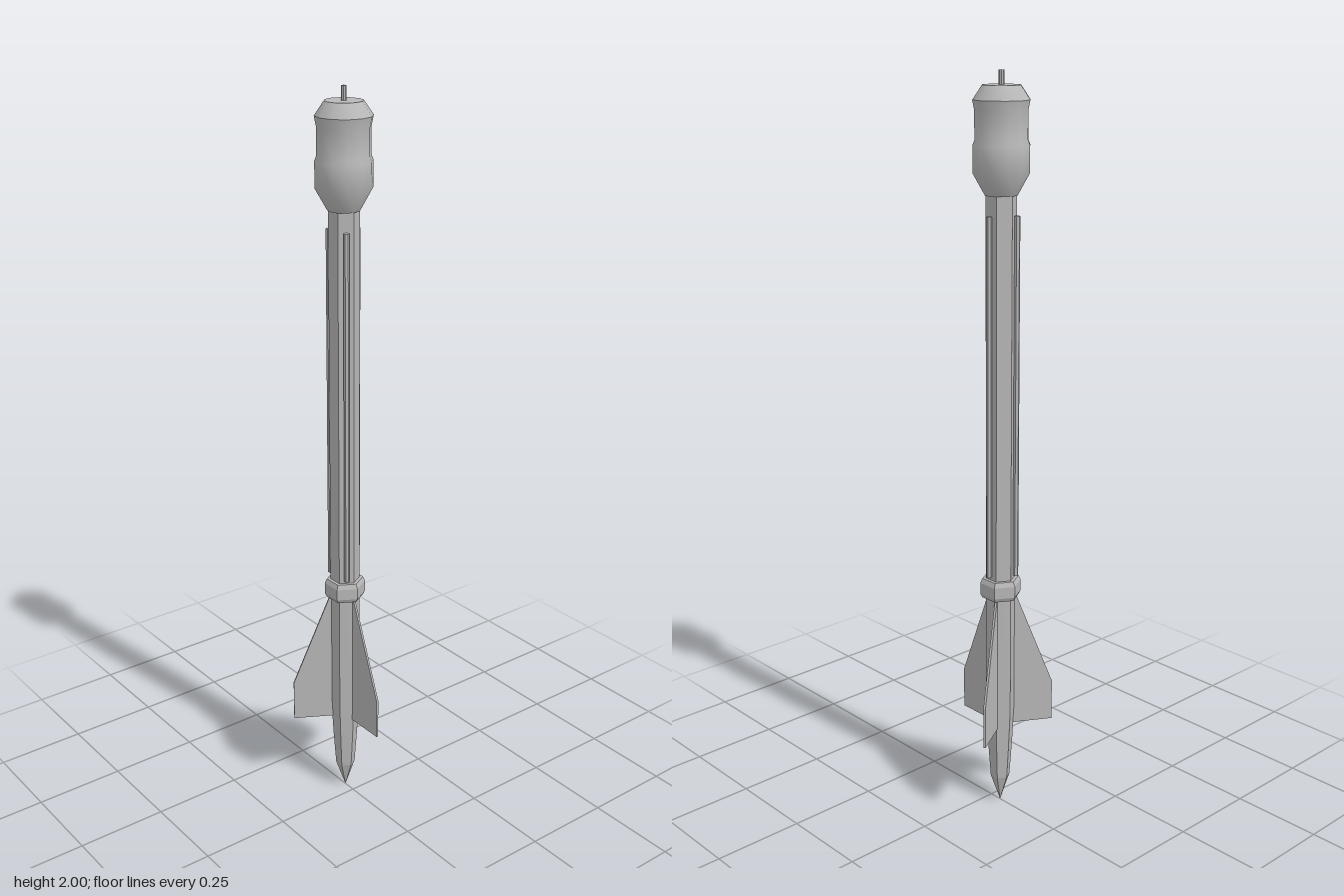
import * as THREE from 'three';
import { toCreasedNormals } from 'three/addons/utils/BufferGeometryUtils.js';

const grey = new THREE.MeshStandardMaterial({ color: 0xb8b8b8 });
grey.name = 'grey metal';

// Revolves [radius, y] pairs, with a corner of the polygon on the x axis
function turned(name, profile, sides, crease) {
  const points = profile.map(([r, y]) => new THREE.Vector2(r, y));
  const lathe = new THREE.LatheGeometry(points, sides, Math.PI / 2);
  const mesh = new THREE.Mesh(toCreasedNormals(lathe, crease), grey);
  mesh.name = name;
  return mesh;
}

export function createModel() {
  const model = new THREE.Group();
  model.name = 'dart';
  const body = new THREE.Group();
  body.name = 'body';
  body.position.x = -0.036;
  model.add(body);

  // Six-sided shaft with a pointed nose at the bottom
  body.add(turned('shaft', [
    [0, 0], [0.027, 0.08], [0.034, 0.18], [0.04, 0.29], [0.04, 1.71],
  ], 6, 0.1));

  // Bevelled collar above the fins
  body.add(turned('collar', [
    [0.038, 0.625], [0.05, 0.625], [0.056, 0.636], [0.056, 0.667], [0.05, 0.68], [0.038, 0.68],
  ], 6, 0.1));

  // Rounded head with a shallow waist
  body.add(turned('head', [
    [0, 1.7], [0.042, 1.7], [0.073, 1.755], [0.073, 1.822], [0.068, 1.835],
    [0.068, 1.905], [0.073, 1.93], [0.049, 1.965], [0, 1.965],
  ], 12, 0.75));

  // Small pin on top of the head
  body.add(turned('pin', [[0.007, 1.96], [0.007, 2], [0, 2]], 8, 0.9));

  // Fin outline in radius and height
  const outline = new THREE.Shape([
    [0.02, 0.24], [0.147, 0.24], [0.147, 0.355], [0.041, 0.63], [0.02, 0.63],
  ].map(([r, y]) => new THREE.Vector2(r, y)));
  const finGeometry = new THREE.ExtrudeGeometry(outline, { depth: 0.006, bevelEnabled: false });
  finGeometry.translate(0, 0, -0.003);
  const rodGeometry = toCreasedNormals(new THREE.CylinderGeometry(0.0075, 0.0075, 0.96, 6), 0.1);
  rodGeometry.translate(0.042, 1.17, 0);

  // Three fins on the corners, three rods on the flats
  for (let i = 0; i < 3; i++) {
    const turn = (i * Math.PI * 2) / 3;
    const fin = new THREE.Mesh(finGeometry, grey);
    fin.name = 'fin' + (i + 1);
    fin.rotation.y = turn;
    const rod = new THREE.Mesh(rodGeometry, grey);
    rod.name = 'sideRod' + (i + 1);
    rod.rotation.y = turn - Math.PI / 6;
    body.add(fin, rod);
  }
  return model;
}
